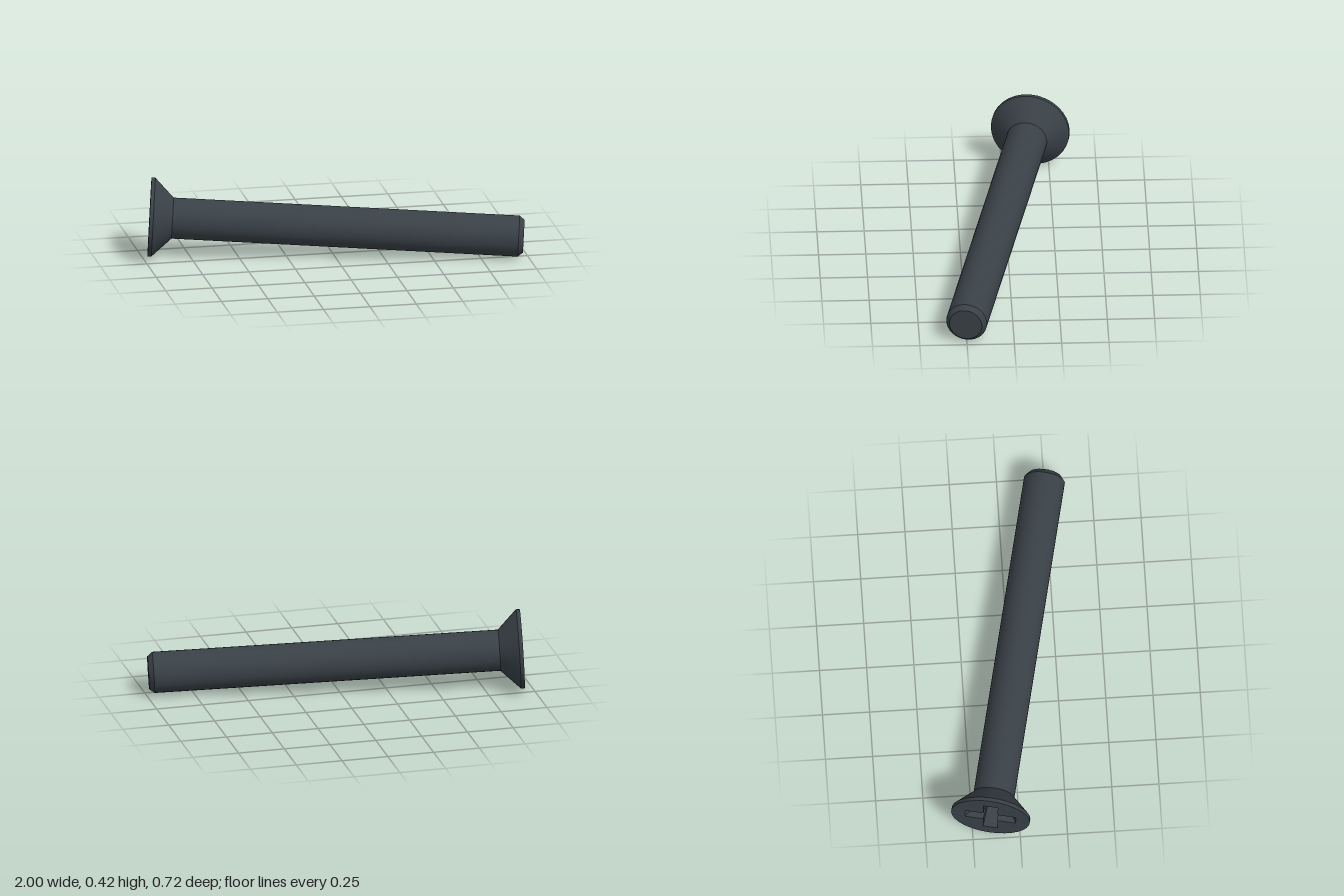
import * as THREE from 'three';

const SIDES = 32;
const HEAD_R = 0.21, SHAFT_R = 0.109, TIP_R = 0.087;
const RIM = 0.02, NECK = 0.122, CHAMFER = 1.953, LENGTH = 1.98;

// Twelve-point cross outline, counter-clockwise
function crossOutline(reach, w) {
  const pts = [];
  for (let i = 0; i < 4; i++) {
    for (const [x, y] of [[reach, -w], [reach, w], [w, w]]) {
      pts.push(new THREE.Vector2(x, y).rotateAround(new THREE.Vector2(), i * Math.PI / 2));
    }
  }
  return pts;
}

export function createModel() {
  const steel = new THREE.MeshStandardMaterial({ color: 0x394147 });
  steel.name = 'blackenedSteel';
  const root = new THREE.Group();
  root.name = 'countersunkScrew';

  // Local frame: +z points out of the head, the shaft runs along -z
  const screw = new THREE.Group();
  screw.name = 'screw';
  const add = (name, geometry, z = 0) => {
    const mesh = new THREE.Mesh(geometry, steel);
    mesh.name = name;
    mesh.position.z = z;
    screw.add(mesh);
  };

  // Separate turned bands keep the edges between them sharp
  const bands = [
    ['headRim', 0, HEAD_R, RIM, HEAD_R],
    ['headCone', RIM, HEAD_R, NECK, SHAFT_R],
    ['shaft', NECK, SHAFT_R, CHAMFER, SHAFT_R],
    ['tipChamfer', CHAMFER, SHAFT_R, LENGTH, TIP_R],
  ];
  for (const [name, s0, r0, s1, r1] of bands) {
    add(name, new THREE.CylinderGeometry(r0, r1, s1 - s0, SIDES, 1, true).rotateX(Math.PI / 2), -(s0 + s1) / 2);
  }
  add('tipFace', new THREE.CircleGeometry(TIP_R, SIDES).rotateY(Math.PI), -LENGTH);

  // Head face with a cross-shaped opening
  const depth = 0.1;
  const upper = crossOutline(0.135, 0.038);
  const lower = crossOutline(0.07, 0.028);
  const face = new THREE.Shape().absarc(0, 0, HEAD_R, 0, Math.PI * 2);
  face.holes.push(new THREE.Path(upper));
  add('headFace', new THREE.ShapeGeometry(face, SIDES / 2));

  // Tapered recess walls and floor
  const positions = [];
  upper.forEach((a, i) => {
    const j = (i + 1) % upper.length;
    const b = upper[j], c = lower[i], d = lower[j];
    positions.push(a.x, a.y, 0, b.x, b.y, 0, c.x, c.y, -depth);
    positions.push(b.x, b.y, 0, d.x, d.y, -depth, c.x, c.y, -depth);
  });
  const walls = new THREE.BufferGeometry();
  walls.setAttribute('position', new THREE.Float32BufferAttribute(positions, 3));
  walls.computeVertexNormals();
  add('recessWalls', walls);
  add('recessFloor', new THREE.ShapeGeometry(new THREE.Shape(lower)), -depth);

  // Lay the screw down, resting on head rim and tip
  screw.position.set(-0.955, 0.21, -0.155);
  screw.lookAt(-0.955 - 0.977, 0.21 + 0.051, -0.155 - 0.208);
  root.add(screw);
  return root;
}
